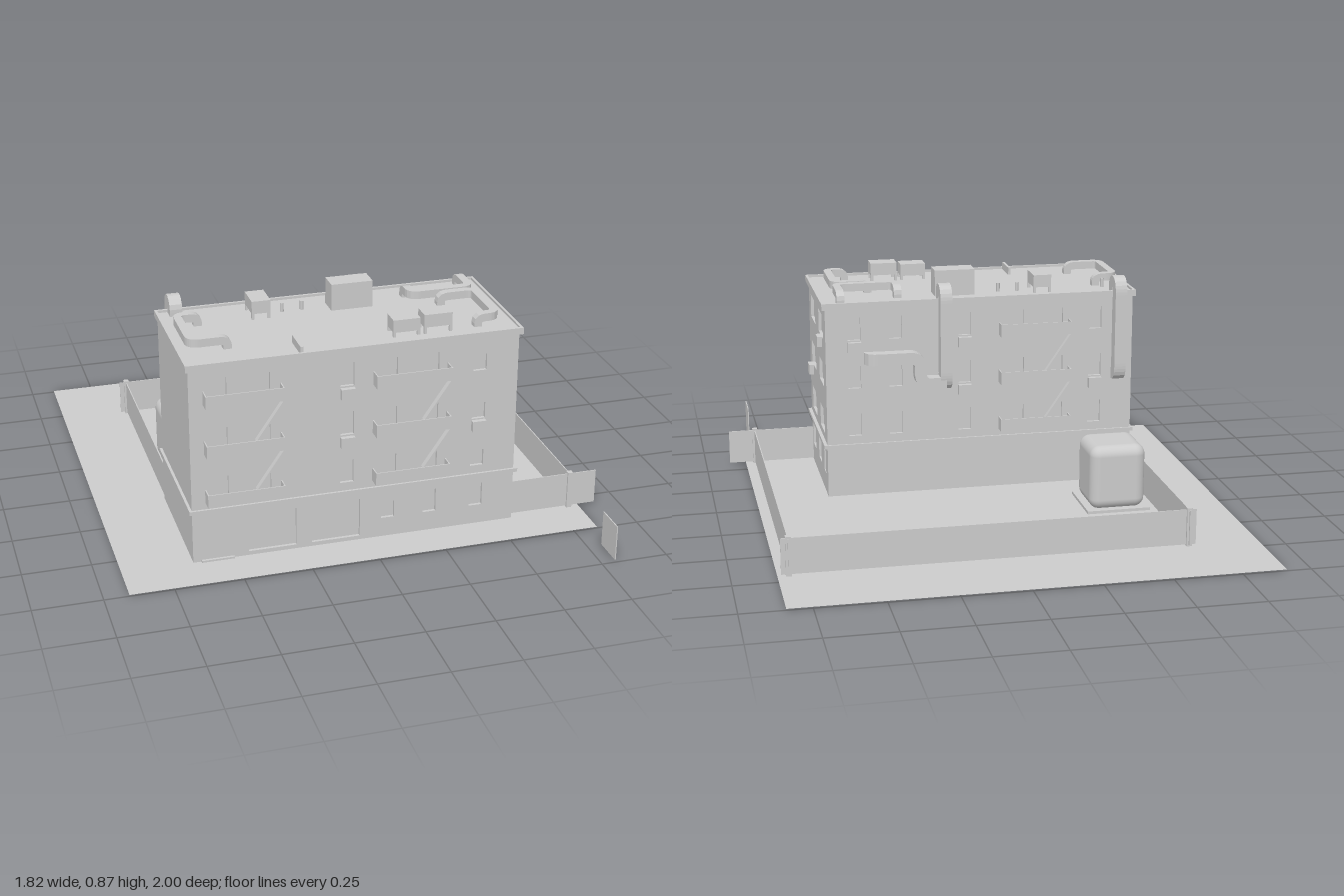
import * as THREE from 'three';
import { RoundedBoxGeometry } from 'three/addons/geometries/RoundedBoxGeometry.js';

const mat = new THREE.MeshStandardMaterial({ color: 0xcccccc, side: THREE.DoubleSide });
const flat = new THREE.MeshStandardMaterial({ color: 0xcccccc, side: THREE.DoubleSide, flatShading: true });
const FLOORS = [0.24, 0.43, 0.62];
const X0 = -0.65, X1 = 0.56, Z0 = 0.085, Z1 = 0.595, DEEP = 0.012;

function add(parent, name, geometry, material = mat) {
  const mesh = new THREE.Mesh(geometry, material);
  mesh.name = name;
  parent.add(mesh);
  return mesh;
}

// Box given by its limits on each axis
function box(parent, name, x0, x1, y0, y1, z0, z1) {
  const g = new THREE.BoxGeometry(x1 - x0, y1 - y0, z1 - z0);
  g.translate((x0 + x1) / 2, (y0 + y1) / 2, (z0 + z1) / 2);
  return add(parent, name, g);
}

function rect(target, x0, x1, y0, y1) {
  target.moveTo(x0, y0);
  target.lineTo(x1, y0);
  target.lineTo(x1, y1);
  target.lineTo(x0, y1);
  target.closePath();
  return target;
}

// Flat sheet with rectangular openings, each [u0, u1, v0, v1]
function pierced(u0, u1, v0, v1, holes, depth) {
  const s = rect(new THREE.Shape(), u0, u1, v0, v1);
  for (const h of holes) s.holes.push(rect(new THREE.Path(), ...h));
  return new THREE.ExtrudeGeometry(s, { depth, bevelEnabled: false });
}

// Square duct swept along a path with rounded corners
function duct(parent, name, pts, half, bend) {
  const p = pts.map((a) => new THREE.Vector3(...a));
  const path = new THREE.CurvePath();
  let from = p[0];
  for (let i = 1; i < p.length - 1; i++) {
    const toward = (q) => {
      const d = q.clone().sub(p[i]);
      return p[i].clone().addScaledVector(d.clone().normalize(), Math.min(bend, d.length() * 0.48));
    };
    const a = toward(p[i - 1]), b = toward(p[i + 1]);
    path.add(new THREE.LineCurve3(from, a));
    path.add(new THREE.QuadraticBezierCurve3(a, p[i], b));
    from = b;
  }
  path.add(new THREE.LineCurve3(from, p[p.length - 1]));
  const n = 48, f = path.computeFrenetFrames(n, false), pos = [], idx = [];
  for (let i = 0; i <= n; i++) {
    const c = path.getPointAt(i / n);
    for (const [a, b] of [[1, 1], [-1, 1], [-1, -1], [1, -1]]) {
      const v = c.clone().addScaledVector(f.normals[i], a * half).addScaledVector(f.binormals[i], b * half);
      pos.push(v.x, v.y, v.z);
    }
    if (i === n) break;
    for (let k = 0; k < 4; k++) {
      const a = i * 4 + k, b = i * 4 + (k + 1) % 4;
      idx.push(a, b, b + 4, a, b + 4, a + 4);
    }
  }
  const e = n * 4;
  idx.push(0, 2, 1, 0, 3, 2, e, e + 1, e + 2, e, e + 2, e + 3);
  const g = new THREE.BufferGeometry();
  g.setAttribute('position', new THREE.Float32BufferAttribute(pos, 3));
  g.setIndex(idx);
  g.computeVertexNormals();
  return add(parent, name, g, flat);
}

// Stack of three balconies joined by ladders, facing +z, origin on the wall
function balconies() {
  const g = new THREE.Group(), w = 0.14, d = 0.048, t = 0.004;
  g.name = 'balconyStack';
  FLOORS.forEach((y, i) => {
    box(g, 'balconyFloor', -w, w, y, y + 0.006, 0, d);
    box(g, 'balconyFront', -w, w, y, y + 0.05, d - t, d);
    for (const s of [-1, 1]) {
      const c = s * (w - t / 2);
      box(g, 'balconySide', c - t / 2, c + t / 2, y, y + 0.05, 0, d);
    }
    if (i < 2) {
      const a = new THREE.Vector2(0.04, y + 0.045), b = new THREE.Vector2(w, y + 0.19);
      const ladder = add(g, 'ladder', new THREE.BoxGeometry(a.distanceTo(b), 0.006, 0.022));
      ladder.position.set((a.x + b.x) / 2, (a.y + b.y) / 2, 0.034);
      ladder.rotation.z = Math.atan2(b.y - a.y, b.x - a.x);
    }
  });
  return g;
}

export function createModel() {
  const model = new THREE.Group();
  model.name = 'apartmentBlock';

  // Ground sheet
  const ground = add(model, 'ground', new THREE.PlaneGeometry(1.75, 1.75).rotateX(-Math.PI / 2));
  ground.position.set(-0.035, 0.005, -0.125);

  // Building core and walls with recessed openings
  const house = new THREE.Group();
  house.name = 'building';
  model.add(house);
  box(house, 'core', X0, X1 - DEEP, 0, 0.76, Z0 + DEEP, Z1 - DEEP);
  const front = [[-0.445, -0.268, 0.02, 0.17], [-0.21, -0.03, 0.02, 0.17],
    [0.05, 0.1, 0.08, 0.145], [0.21, 0.26, 0.08, 0.17], [0.39, 0.44, 0.08, 0.17]];
  const back = [], side = [[0.15, 0.2, 0.08, 0.17], [0.29, 0.37, 0.08, 0.17], [0.47, 0.55, 0.08, 0.17]];
  for (const y of FLOORS) {
    for (const x of [-0.54, -0.385, -0.08, 0.08, 0.235]) front.push([x - 0.025, x + 0.025, y + 0.006, y + 0.095]);
    front.push([0.39, 0.44, y + 0.005, y + 0.067]);
    for (const x of [-0.5, -0.345, -0.19, 0.02, 0.29, 0.45]) back.push([x - 0.025, x + 0.025, y + 0.006, y + 0.095]);
    side.push([0.4, 0.535, y, y + 0.09], [0.155, 0.29, y, y + 0.09]);
  }
  add(house, 'frontWall', pierced(X0, X1, 0, 0.76, front, DEEP)).position.z = Z1 - DEEP;
  add(house, 'backWall', pierced(X0, X1, 0, 0.76, back, DEEP)).position.z = Z0;
  const sideWall = add(house, 'sideWall', pierced(Z0 + DEEP, Z1 - DEEP, 0, 0.76, side, DEEP));
  sideWall.rotation.y = -Math.PI / 2;
  sideWall.position.x = X1;
  box(house, 'doorStep', -0.62, -0.5, 0, 0.012, Z1, Z1 + 0.01);

  // String course and roof with a low rim
  box(house, 'ledge', -0.66, 0.573, 0.2, 0.214, 0.077, 0.604);
  box(house, 'roof', -0.658, 0.571, 0.75, 0.766, 0.079, 0.602);
  const rim = add(house, 'roofRim',
    pierced(-0.66, 0.573, 0.077, 0.604, [[-0.65, 0.563, 0.087, 0.594]], 0.025));
  rim.rotation.x = Math.PI / 2;
  rim.position.y = 0.775;

  // Balconies: two stacks in front, one behind
  for (const [x, z, turn] of [[-0.46, Z1, 0], [0.155, Z1, 0], [-0.255, Z0, Math.PI]]) {
    const b = balconies();
    b.position.set(x, 0, z);
    b.rotation.y = turn;
    house.add(b);
  }

  // Air conditioners under windows
  const ac = (x, y, z) => {
    const m = add(house, 'airConditioner', new THREE.BoxGeometry(0.052, 0.04, 0.052));
    m.position.set(x, y, z);
  };
  for (const y of [0.6, 0.41]) ac(-0.08, y, Z1 - 0.008);
  ac(0.415, 0.41, Z1 - 0.008);
  ac(X1 - 0.007, 0.6, 0.215);
  ac(X1 - 0.007, 0.41, 0.508);
  for (const [x, y] of [[-0.5, 0.41], [0.02, 0.6], [0.02, 0.41], [0.45, 0.6]]) ac(x, y, Z0 + 0.008);

  // Large ducts over the back edge
  for (const x of [-0.59, 0.1]) {
    duct(house, 'wallDuct', [[x, 0.76, 0.112], [x, 0.81, 0.112], [x, 0.81, 0.058],
      [x, 0.445, 0.058], [x, 0.445, 0.09]], 0.023, 0.045);
  }
  duct(house, 'branchDuct', [[0.1, 0.45, 0.06], [0.2, 0.45, 0.06], [0.2, 0.555, 0.06],
    [0.39, 0.555, 0.06], [0.39, 0.555, 0.09]], 0.023, 0.04);

  // Small ducts on the roof, dipping into it at the ends
  const y = 0.799, low = 0.76;
  for (const p of [
    [[-0.535, low, 0.232], [-0.535, y, 0.232], [-0.61, y, 0.232], [-0.61, y, 0.37]],
    [[-0.61, y, 0.37], [-0.61, y, 0.462], [-0.48, y, 0.462], [-0.48, low, 0.462]],
    [[0.267, low, 0.175], [0.267, y, 0.175], [0.267, y, 0.247], [0.496, y, 0.247], [0.496, y, 0.118], [0.496, low, 0.118]],
    [[0.367, low, 0.287], [0.367, y, 0.287], [0.497, y, 0.287], [0.497, y, 0.515], [0.427, y, 0.515], [0.427, low, 0.515]],
  ]) duct(house, 'roofDuct', p, 0.015, 0.03);

  // Roof units on feet, stair head, vents and divider
  const unit = (x0, x1, y0, y1, z0, z1) => {
    box(house, 'roofUnit', x0, x1, y0, y1, z0, z1);
    for (const x of [x0, x1 - 0.01]) for (const z of [z0, z1 - 0.01]) box(house, 'unitFoot', x, x + 0.01, 0.765, y0, z, z + 0.01);
  };
  unit(-0.335, -0.265, 0.788, 0.836, 0.14, 0.245);
  unit(0.105, 0.205, 0.783, 0.83, 0.47, 0.54);
  unit(0.22, 0.325, 0.79, 0.838, 0.47, 0.54);
  box(house, 'stairHead', -0.035, 0.122, 0.76, 0.867, 0.16, 0.24);
  box(house, 'roofDivider', -0.25, -0.24, 0.76, 0.795, 0.48, 0.595);
  for (const x of [-0.555, -0.21, -0.135]) {
    add(house, 'ventPipe', new THREE.CylinderGeometry(0.007, 0.007, 0.04, 10)).position.set(x, 0.78, 0.195);
  }

  // Fence, posts and the two gate panels
  const fence = (name, x0, x1, z0, z1) => box(model, name, x0 - 0.002, x1 + 0.002, 0.01, 0.143, z0 - 0.002, z1 + 0.002);
  fence('backFence', -0.67, 0.825, -0.705, -0.705);
  fence('rightFence', -0.645, -0.645, -0.72, Z0);
  fence('leftFence', 0.8, 0.8, -0.72, 0.575);
  fence('frontFence', X1, 0.8, 0.57, 0.57);
  fence('gatePanel', 0.8, 0.903, 0.57, 0.57);
  fence('gatePanel', 0.8, 0.8, 0.884, 0.998);
  for (const [x, z] of [[-0.645, -0.705], [0.8, -0.705], [0.8, 0.57]]) {
    box(model, 'fencePost', x - 0.01, x + 0.01, 0, 0.15, z - 0.01, z + 0.01);
  }

  // Rounded tank on its pad
  box(model, 'tankPad', -0.62, -0.375, 0, 0.016, -0.315, -0.072);
  add(model, 'tank', new RoundedBoxGeometry(0.215, 0.25, 0.215, 4, 0.04)).position.set(-0.498, 0.135, -0.195);

  return model;
}
